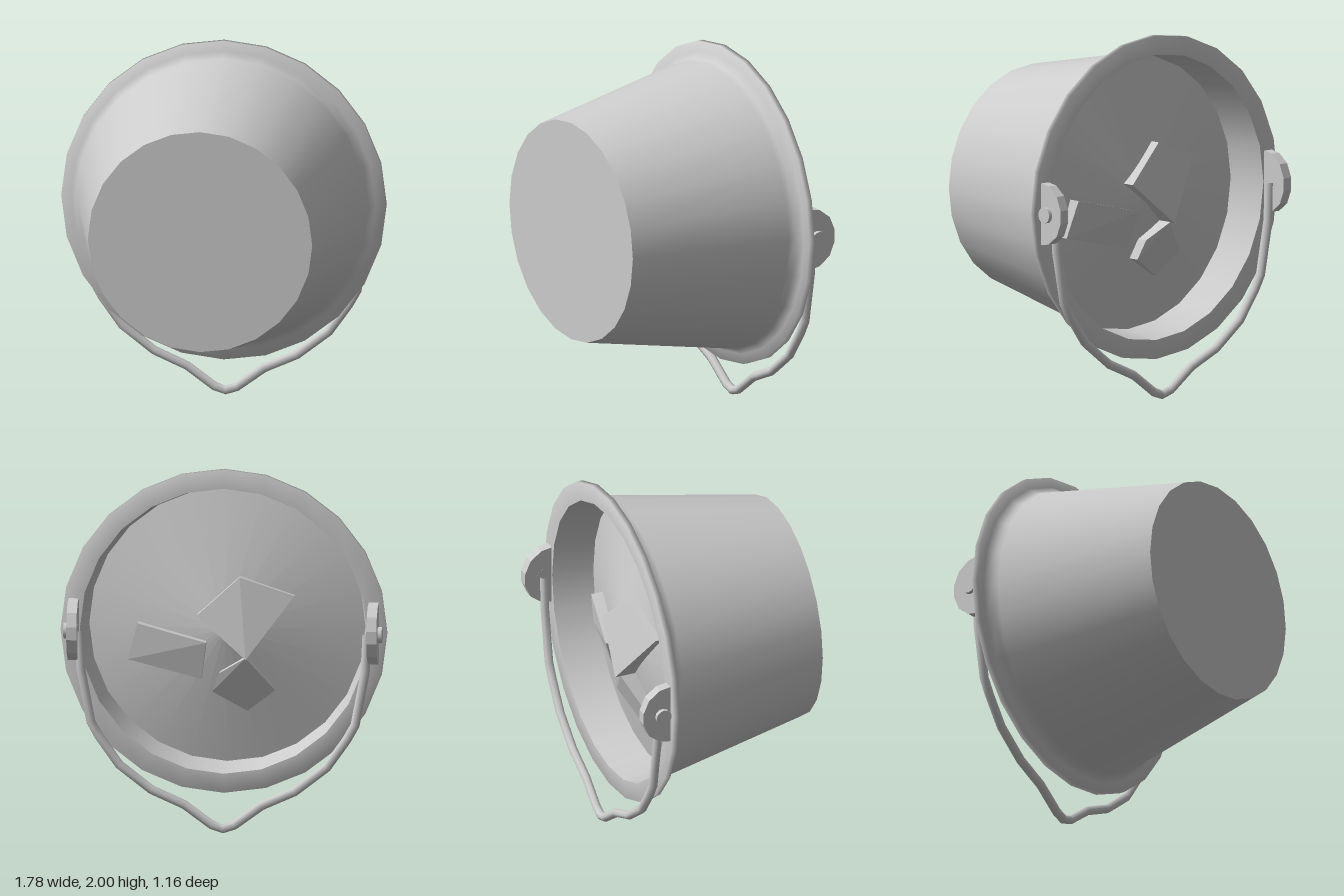
import * as THREE from 'three';
import { ConvexGeometry } from 'three/addons/geometries/ConvexGeometry.js';

const CY = 1.11;   // height of the bucket axis
const SIDES = 24;

export function createModel() {
  const model = new THREE.Group();
  const grey = new THREE.MeshStandardMaterial({ color: 0xcccccc });

  const add = (name, geometry, parent = model) => {
    const mesh = new THREE.Mesh(geometry, grey);
    mesh.name = name;
    parent.add(mesh);
  };

  // Surface of revolution round the z axis; points are [radius, z]
  const turned = (name, points, parent) => {
    const g = new THREE.LatheGeometry(points.map(([r, z]) => new THREE.Vector2(r, z)), SIDES);
    g.rotateX(Math.PI / 2);
    g.translate(0, CY, 0);
    add(name, g, parent);
  };

  // Bucket lying on its side, mouth towards the back
  const bucket = new THREE.Group();
  bucket.name = 'bucket';
  model.add(bucket);
  turned('innerWall', [[0.75, -0.17], [0.785, -0.42]], bucket);
  turned('rimAndOuterWall', [
    [0.785, -0.42], [0.89, -0.42], [0.89, -0.387], [0.835, -0.385], [0.8, -0.35], [0.793, -0.315], [0.615, 0.58],
  ], bucket);
  turned('base', [[0.615, 0.58], [0, 0.58]], bucket);

  // Mounded contents
  turned('contents', [[0, -0.36], [0.755, -0.19]]);

  // Chunks half sunk in the contents; top corners are [x, y from axis, z]
  const chunks = [
    [[-0.08, 0.285, -0.35], [-0.375, 0.18, -0.305], [-0.12, -0.155, -0.435], [0.15, 0.08, -0.395]],
    [[0.48, 0.02, -0.32], [0.1, -0.07, -0.396], [0.13, -0.28, -0.327], [0.535, -0.185, -0.284]],
    [[0.03, -0.24, -0.37], [-0.117, -0.15, -0.405], [-0.27, -0.34, -0.305], [-0.118, -0.46, -0.283], [0.07, -0.345, -0.344]],
  ];
  chunks.forEach((corners, i) => {
    const points = [];
    for (const [x, y, z] of corners) {
      points.push(new THREE.Vector3(x, y + CY, z), new THREE.Vector3(x, y + CY, -0.21));
    }
    add('chunk' + (i + 1), new ConvexGeometry(points));
  });

  // Rounded ear plate, drawn as [distance behind the rim, height]
  const ear = new THREE.Shape([
    [0, -0.17], [0.06, -0.16], [0.125, -0.11], [0.157, -0.035],
    [0.157, 0.035], [0.125, 0.11], [0.06, 0.16], [0, 0.17],
  ].map(([x, y]) => new THREE.Vector2(x, y)));

  for (const [side, s] of [['left', 1], ['right', -1]]) {
    const plate = new THREE.ExtrudeGeometry(ear, { depth: 0.055, bevelEnabled: false });
    plate.translate(0, 0, -0.0275);
    plate.rotateY(Math.PI / 2);
    plate.translate(s * 0.818, CY, -0.42);
    add(side + 'Ear', plate);

    const pin = new THREE.CylinderGeometry(0.044, 0.044, 0.078, 12);
    pin.rotateZ(Math.PI / 2);
    pin.translate(s * 0.829, CY, -0.465);
    add(side + 'Pin', pin);
  }

  // Hanging wire handle with a dip in the middle, one tube ring at each bend
  const half = [
    [0.785, 1.11], [0.775, 0.9], [0.72, 0.61], [0.675, 0.53], [0.565, 0.375],
    [0.39, 0.24], [0.21, 0.16], [0.06, 0.05],
  ];
  const path = [
    ...half,
    [0, 0.03],
    ...half.map(([x, y]) => [-x, y]).reverse(),
  ].map(([x, y]) => new THREE.Vector3(x, y, -0.467));
  const curve = new THREE.CatmullRomCurve3(path, false, 'centripetal');
  curve.getPointAt = curve.getPoint;
  curve.getTangentAt = curve.getTangent;
  add('handle', new THREE.TubeGeometry(curve, path.length - 1, 0.025, 8));

  return model;
}
